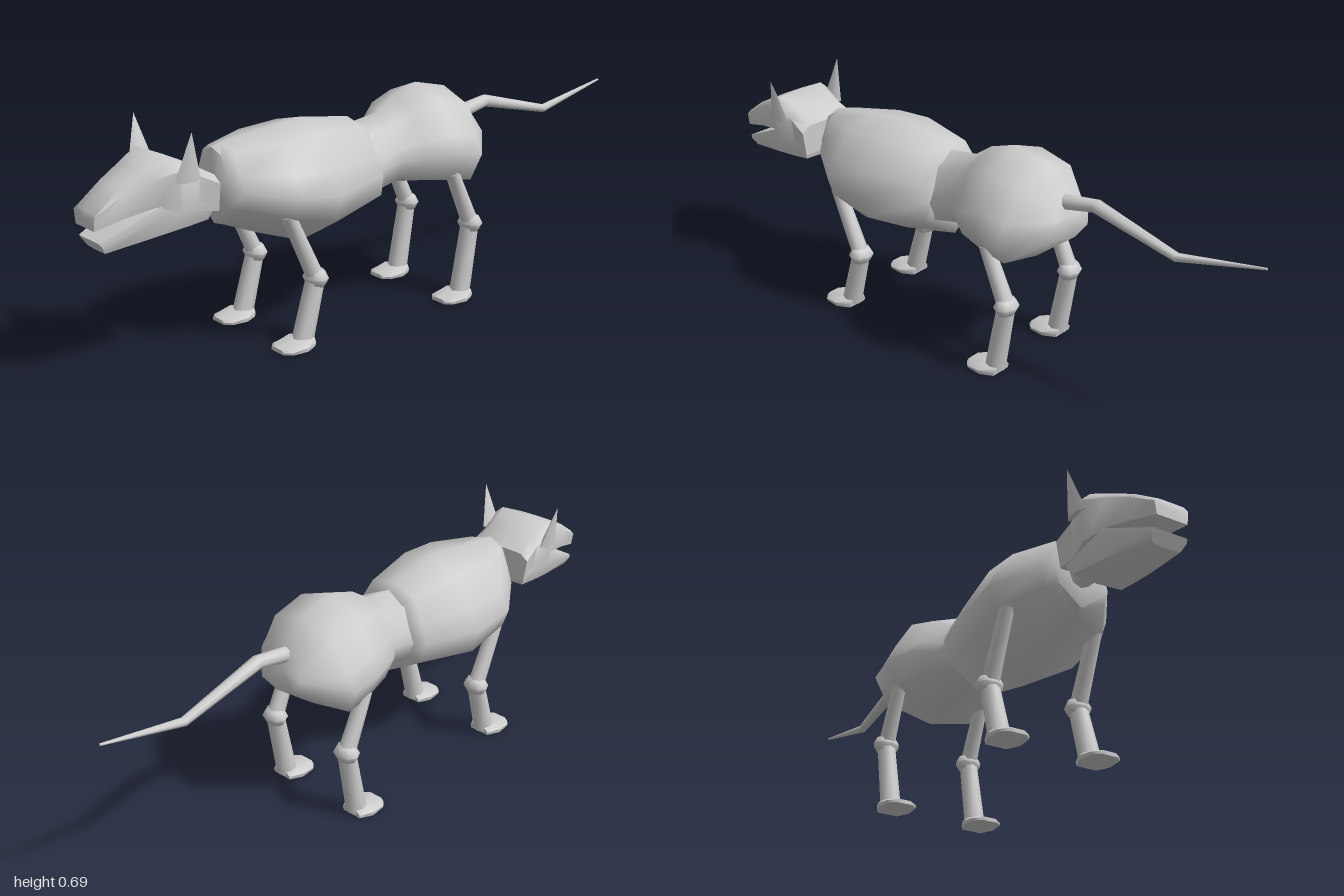
import * as THREE from 'three';
import { toCreasedNormals } from 'three/addons/utils/BufferGeometryUtils.js';

const material = new THREE.MeshStandardMaterial({ color: 0xcccccc });

function part(name, geometry, crease = 1.0) {
  const mesh = new THREE.Mesh(toCreasedNormals(geometry, crease), material);
  mesh.name = name;
  return mesh;
}

// Skin a body along z. profile: right half outline, top to bottom, as
// [share of half width, share of height]. sections, front to back:
// [zTop, yTop, zBottom, yBottom, halfWidth].
function loft(profile, sections) {
  const mirrored = profile.slice(1, -1).reverse().map(([x, y]) => [-x, y]);
  const ring = [...profile, ...mirrored];
  const n = ring.length;
  const pos = [];
  const index = [];
  for (const [zt, yt, zb, yb, w] of sections) {
    for (const [x, t] of ring) pos.push(x * w, yb + (yt - yb) * t, zb + (zt - zb) * t);
  }
  const last = sections.length - 1;
  for (let i = 0; i < last; i++) {
    for (let j = 0; j < n; j++) {
      const a = i * n + j, b = i * n + (j + 1) % n;
      index.push(a, b, a + n, b, b + n, a + n);
    }
  }
  // end caps
  for (const s of [0, last]) {
    const [zt, yt, zb, yb] = sections[s];
    const centre = pos.length / 3;
    pos.push(0, (yt + yb) / 2, (zt + zb) / 2);
    for (let j = 0; j < n; j++) {
      const a = s * n + j, b = s * n + (j + 1) % n;
      if (s === 0) index.push(centre, b, a);
      else index.push(centre, a, b);
    }
  }
  const g = new THREE.BufferGeometry();
  g.setAttribute('position', new THREE.Float32BufferAttribute(pos, 3));
  g.setIndex(index);
  return g;
}

// Tapered rod between two points
function rod(name, from, to, r0, r1) {
  const a = new THREE.Vector3(...from), b = new THREE.Vector3(...to);
  const dir = b.clone().sub(a);
  const mesh = part(name, new THREE.CylinderGeometry(r1, r0, dir.length(), 8));
  mesh.position.copy(a).add(b).multiplyScalar(0.5);
  mesh.quaternion.setFromUnitVectors(new THREE.Vector3(0, 1, 0), dir.normalize());
  return mesh;
}

const OCTAGON = [[0, 1], [0.71, 0.85], [1, 0.5], [0.71, 0.15], [0, 0]];

function makeLeg(name, side, hip, knee, ankle) {
  const leg = new THREE.Group();
  leg.name = name;
  leg.position.x = side * 0.15;
  leg.add(rod('upperLeg', [0, ...hip], [0, ...knee], 0.022, 0.027));
  leg.add(rod('lowerLeg', [0, ...knee], [0, ...ankle], 0.028, 0.032));
  const joint = part('kneeJoint', new THREE.SphereGeometry(1, 8, 4));
  joint.scale.set(0.044, 0.032, 0.035);
  joint.position.set(0, ...knee);
  leg.add(joint);
  const foot = part('foot', loft([[0, 1], [0.7, 1], [1, 0.5], [0.95, 0], [0, 0]], [
    [0.09, 0.012, 0.09, 0, 0.03],
    [0.07, 0.016, 0.07, 0, 0.05],
    [0.02, 0.026, 0.02, 0, 0.056],
    [-0.025, 0.024, -0.02, 0, 0.035],
  ]));
  foot.position.z = ankle[1];
  leg.add(foot);
  return leg;
}

export function createModel() {
  const model = new THREE.Group();
  model.name = 'fourLeggedAnimal';

  // Torso: ribcage, then narrow waist swelling into the rump
  model.add(part('chest', loft(
    [[0, 1], [0.55, 0.93], [0.84, 0.66], [1, 0.48], [0.88, 0.27], [0, 0]], [
      [0.6, 0.59, 0.6, 0.37, 0.085],
      [0.57, 0.597, 0.57, 0.36, 0.115],
      [0.43, 0.615, 0.45, 0.31, 0.205],
      [0.3, 0.63, 0.3, 0.255, 0.2],
      [0.12, 0.605, 0.09, 0.305, 0.15],
      [0.09, 0.575, 0.08, 0.35, 0.11],
    ]), 1.3));
  model.add(part('waistAndRump', loft(
    [[0, 1], [0.6, 0.86], [0.86, 0.55], [1, 0.4], [0.8, 0.12], [0, 0]], [
      [0.14, 0.58, 0.12, 0.35, 0.115],
      [0, 0.6, 0, 0.38, 0.115],
      [-0.06, 0.642, -0.06, 0.37, 0.165],
      [-0.15, 0.672, -0.17, 0.355, 0.2],
      [-0.27, 0.645, -0.24, 0.34, 0.195],
      [-0.34, 0.57, -0.38, 0.45, 0.08],
    ]), 1.3));

  // Tail
  model.add(part('tail', loft(OCTAGON, [
    [-0.32, 0.57, -0.32, 0.52, 0.025],
    [-0.45, 0.59, -0.45, 0.55, 0.023],
    [-0.725, 0.517, -0.725, 0.49, 0.014],
    [-1, 0.569, -1, 0.562, 0.004],
  ])));

  // Neck and head
  model.add(rod('neck', [0, 0.47, 0.56], [0, 0.47, 0.7], 0.036, 0.036));
  model.add(part('skull', loft(
    [[0, 1], [0.75, 0.99], [1, 0.8], [0.9, 0], [0, 0]], [
      [1, 0.49, 1, 0.44, 0.055],
      [0.92, 0.545, 0.92, 0.462, 0.07],
      [0.855, 0.578, 0.83, 0.48, 0.09],
      [0.785, 0.608, 0.77, 0.46, 0.125],
      [0.71, 0.575, 0.71, 0.45, 0.108],
      [0.65, 0.54, 0.65, 0.44, 0.115],
    ])));
  model.add(part('lowerJaw', loft(
    [[0, 1], [0.95, 1], [1, 0.7], [0.8, 0.08], [0, 0]], [
      [0.99, 0.405, 0.968, 0.37, 0.057],
      [0.82, 0.482, 0.82, 0.39, 0.092],
      [0.74, 0.49, 0.74, 0.4, 0.1],
      [0.65, 0.49, 0.675, 0.41, 0.105],
    ])));

  for (const [label, side] of [['left', 1], ['right', -1]]) {
    // Ear: thin four-sided spike leaning outward
    const cone = new THREE.ConeGeometry(1, 0.14, 6);
    cone.scale(0.018, 1, 0.04);
    const ear = part(label + 'Ear', cone);
    ear.position.set(side * 0.133, 0.617, 0.755);
    ear.rotation.z = -side * 0.2;
    model.add(ear);

    model.add(makeLeg(label + 'FrontLeg', side, [0.4, 0.455], [0.195, 0.36], [0.015, 0.41]));
    model.add(makeLeg(label + 'BackLeg', side, [0.41, -0.17], [0.235, -0.25], [0.015, -0.21]));
  }
  return model;
}
